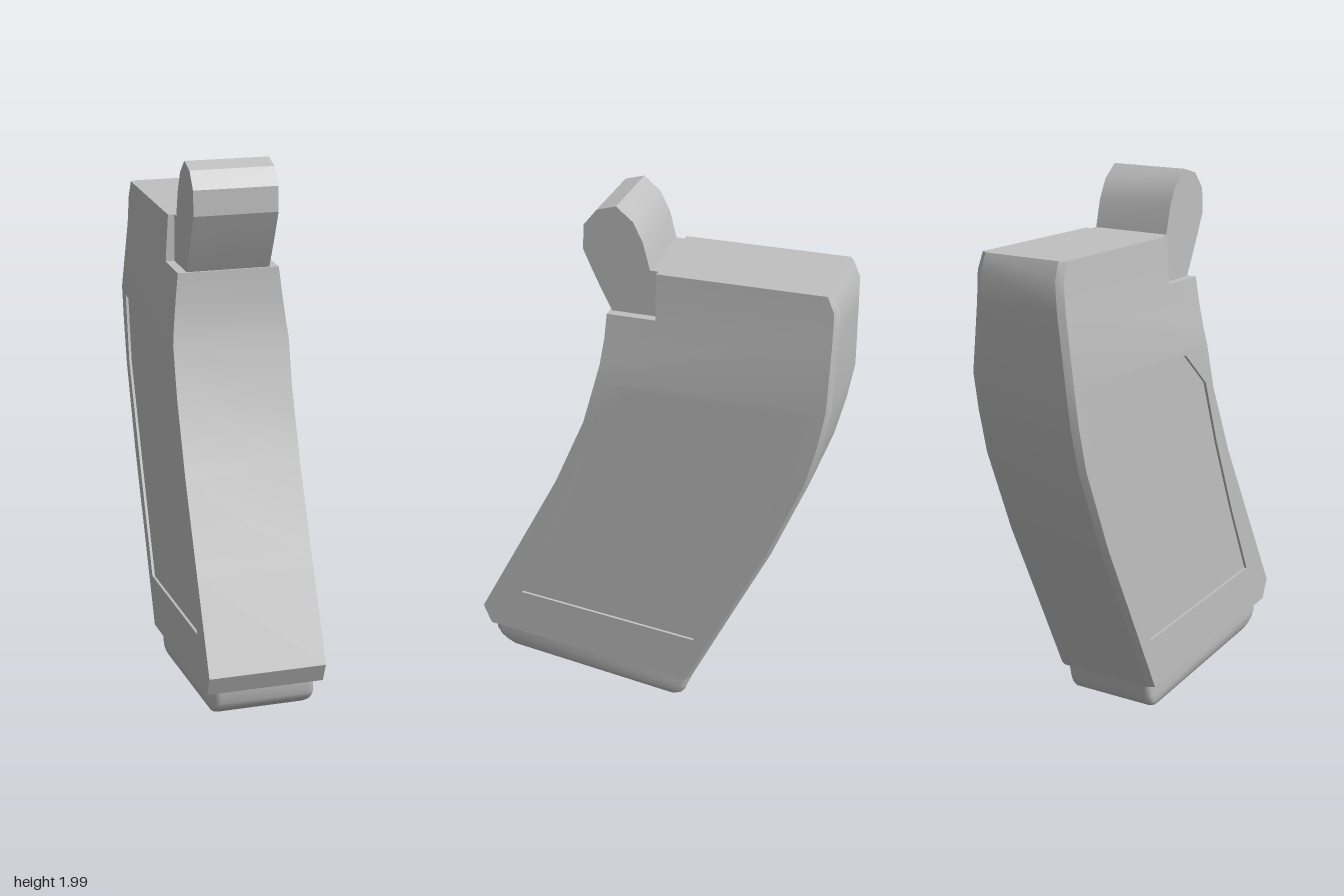
import * as THREE from 'three';
import { mergeGeometries, toCreasedNormals } from 'three/addons/utils/BufferGeometryUtils.js';

const grey = new THREE.MeshStandardMaterial({ color: 0xc0c0c0 });
grey.name = 'light grey';

const V2 = (p) => new THREE.Vector2(p[0], p[1]);
const at = (pts, depth) => pts.map(([a, b]) => [a, b, depth]);

function fromTriangles(tris) {
  const geo = new THREE.BufferGeometry();
  geo.setAttribute('position', new THREE.Float32BufferAttribute(tris.flat(2), 3));
  return geo;
}

function quad(tris, a, b, c, d) {
  for (const t of [[a, b, c], [a, c, d]]) {
    const tri = new THREE.Triangle(...t.map((p) => new THREE.Vector3(...p)));
    if (tri.getArea() > 1e-8) tris.push(t);
  }
}

// Walls between counter-clockwise rings, in order of rising depth
function loft(rings) {
  const tris = [];
  for (let k = 0; k + 1 < rings.length; k++) {
    const lo = rings[k], hi = rings[k + 1], n = lo.length;
    for (let i = 0; i < n; i++) {
      const j = (i + 1) % n;
      quad(tris, lo[i], lo[j], hi[j], hi[i]);
    }
  }
  return fromTriangles(tris);
}

// Flat face with an optional hole; depth is a number or a rule of height
function face(pts, depth, hole) {
  const shape = new THREE.Shape(pts.map(V2));
  if (hole) shape.holes.push(new THREE.Path(hole.map(V2)));
  const geo = new THREE.ShapeGeometry(shape).toNonIndexed();
  geo.deleteAttribute('uv');
  geo.deleteAttribute('normal');
  const p = geo.attributes.position;
  for (let i = 0; i < p.count; i++) p.setZ(i, typeof depth === 'number' ? depth : depth(p.getY(i)));
  return geo;
}

// Mirror across x and restore the corner order
function mirrored(geo) {
  const p = geo.clone().attributes.position;
  const tris = [];
  for (let i = 0; i < p.count; i += 3) {
    tris.push([0, 2, 1].map((k) => [-p.getX(i + k), p.getY(i + k), p.getZ(i + k)]));
  }
  return fromTriangles(tris);
}

function roundedRect(w, s0, s1, r) {
  const pts = [];
  const corners = [[w - r, s1 - r], [r - w, s1 - r], [r - w, s0 + r], [w - r, s0 + r]];
  corners.forEach(([x, s], c) => {
    for (let i = 0; i <= 4; i++) {
      const a = (c + i / 4) * Math.PI / 2;
      pts.push([x + r * Math.cos(a), s + r * Math.sin(a)]);
    }
  });
  return pts;
}

function mesh(name, geo, crease = 0.5) {
  const m = new THREE.Mesh(toCreasedNormals(geo, crease), grey);
  m.name = name;
  return m;
}

// Grip half width: constant below, narrowing to the top
function halfWidth(y) {
  const s = [[1.36, 0.213], [1.61, 0.185], [1.78, 0.175]];
  if (y < 1.36) return 0.213;
  const [a, b] = y < 1.61 ? [s[0], s[1]] : [s[1], s[2]];
  return THREE.MathUtils.mapLinear(y, a[0], b[0], a[1], b[1]);
}

// Side outline of the grip as [z, y]
const frontLow = [[0.64, 0.215], [0.67, 0.29], [0.51, 0.6], [0.35, 0.91], [0.235, 1.18], [0.185, 1.36]];
const frontHigh = [[0.17, 1.42], [0.155, 1.52], [0.148, 1.61], [-0.03, 1.61], [-0.03, 1.78]];
const backHigh = [[-0.645, 1.78], [-0.67, 1.72], [-0.67, 1.61]];
const backLow = [[-0.665, 1.36], [-0.64, 1.22], [-0.6, 1.06], [-0.47, 0.74], [-0.33, 0.45], [-0.17, 0.115]];
const panel = [[0.04, 1.34], [-0.585, 1.34], [-0.54, 1.08], [-0.365, 0.69], [-0.185, 0.31],
  [0.505, 0.385], [0.38, 0.67], [0.265, 0.96], [0.18, 1.21]];

function buildGrip() {
  const bevel = 0.015;
  const inset = (pts) => pts.map(([z, y]) => [z + bevel, y]);

  // Front, ledge, top, back and bottom, with bevelled rear edges
  const section = ([z, y], c) => {
    const w = halfWidth(y), v = w - c * 1.6;
    return [[w, y, z + c], [v, y, z], [-v, y, z], [-w, y, z + c]];
  };
  const rows = [
    ...[...frontLow, ...frontHigh].map((p) => section(p, 0)),
    ...[...backHigh, ...backLow].map((p) => section(p, bevel)),
  ];
  const tris = [];
  rows.forEach((a, i) => {
    const b = rows[(i + 1) % rows.length];
    for (let k = 0; k < 3; k++) quad(tris, a[k], b[k], b[k + 1], a[k + 1]);
  });

  // Side walls with the sunken panel
  const w = halfWidth(0), floor = w - 0.01;
  const side = mergeGeometries([
    face([...frontLow, ...inset(backLow)], w, panel),
    face([frontLow[5], ...frontHigh, ...inset(backHigh), inset(backLow)[0]], halfWidth),
    loft([at(panel, w), at(panel, floor)]),
    face(panel, floor),
  ]).rotateY(-Math.PI / 2);
  return mesh('grip', mergeGeometries([fromTriangles(tris), side, mirrored(side)]));
}

function buildTang() {
  const shape = new THREE.Shape([[0.14, 1.61], [0.175, 1.68], [0.21, 1.755], [0.243, 1.83], [0.238, 1.92],
    [0.19, 1.98], [0.12, 2], [0.06, 1.95], [0.025, 1.88], [0, 1.78], [-0.03, 1.78], [-0.03, 1.61]].map(V2));
  const geo = new THREE.ExtrudeGeometry(shape, { depth: 0.304, bevelEnabled: false });
  geo.rotateY(-Math.PI / 2).translate(0.152, 0, 0);
  return mesh('rearTang', geo, 0.45);
}

function buildBase() {
  // Rounded foot: [depth, back, front, half width], going down
  const rings = [[-0.115, -0.385, 0.417, 0.186], [-0.058, -0.38, 0.412, 0.186], [-0.035, -0.375, 0.395, 0.185],
    [-0.018, -0.366, 0.371, 0.182], [-0.006, -0.35, 0.348, 0.177], [0, -0.328, 0.328, 0.167]]
    .map(([d, s0, s1, w]) => at(roundedRect(w, s0, s1, 0.025), d));
  const slot = roundedRect(0.09, 0.215, 0.285, 0.012);
  const geo = mergeGeometries([
    loft(rings),
    face(rings[rings.length - 1], 0, slot),
    loft([at(slot, 0), at(slot, -0.03)]),
    face(slot, -0.03),
  ]).rotateX(Math.PI / 2);
  const base = mesh('basePlate', geo, 0.7);
  base.rotation.x = -0.14;
  base.position.set(0, 0.055, 0.235);
  return base;
}

export function createModel() {
  const model = new THREE.Group();
  model.name = 'handGrip';
  model.add(buildGrip(), buildTang(), buildBase());
  return model;
}
